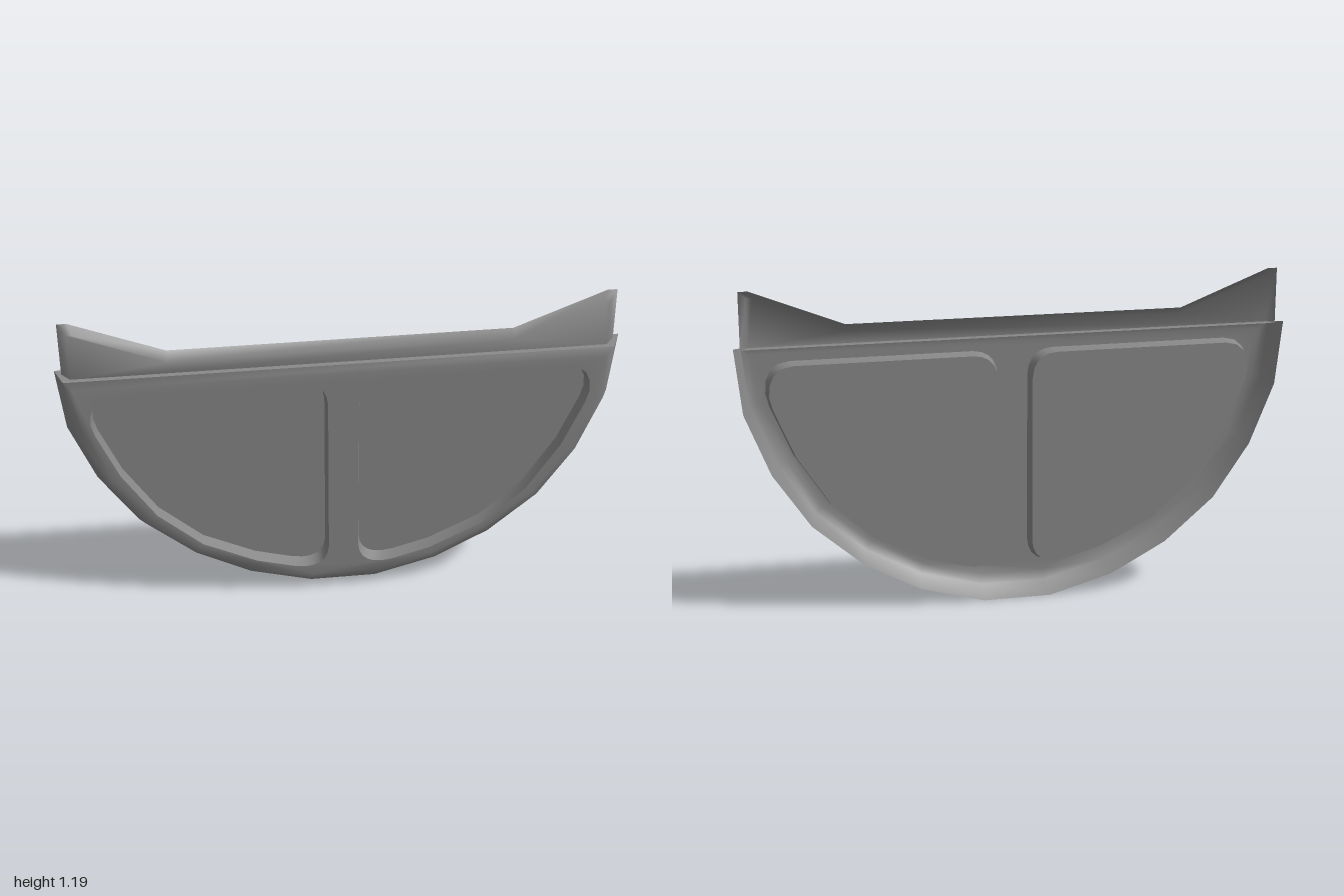
import * as THREE from 'three';
import { mergeGeometries, toCreasedNormals } from 'three/addons/utils/BufferGeometryUtils.js';

const material = new THREE.MeshStandardMaterial({ color: 0x878787, side: THREE.DoubleSide });

// One skin from several pieces, smooth except across edges sharper than crease
function addSkin(parent, name, pieces, crease = 0.8) {
  const mesh = new THREE.Mesh(toCreasedNormals(mergeGeometries(pieces), crease), material);
  mesh.name = name;
  parent.add(mesh);
}

// Band between closed counter-clockwise rings
function loft(rings) {
  const n = rings[0].pts.length;
  const positions = rings.flatMap(r => r.pts.flatMap(([x, y]) => [x, y, r.z]));
  const index = [];
  for (let k = 0; k < rings.length - 1; k++) {
    for (let i = 0; i < n; i++) {
      const a = k * n + i, b = k * n + (i + 1) % n;
      index.push(a, b, b + n, a, b + n, a + n);
    }
  }
  const geometry = new THREE.BufferGeometry();
  geometry.setAttribute('position', new THREE.Float32BufferAttribute(positions, 3));
  geometry.setIndex(index);
  return geometry;
}

const toVectors = pts => pts.map(([x, y]) => new THREE.Vector2(x, y));
const mirror = pts => pts.map(([x, y]) => [-x, y]).reverse();

// Flat face inside an outline, with optional openings
function flat(pts, z, holes = []) {
  const shape = new THREE.Shape(toVectors(pts));
  shape.holes = holes.map(h => new THREE.Path(toVectors(h)));
  const geometry = new THREE.ShapeGeometry(shape).translate(0, 0, z);
  geometry.deleteAttribute('uv');
  geometry.deleteAttribute('normal');
  return geometry;
}

// Half of the bowl outline, from bottom to top on the left side
const half = [[0.125, 0], [0.36, 0.065], [0.565, 0.175], [0.75, 0.335],
  [0.885, 0.535], [0.975, 0.76], [1, 0.995]];

// Bowl outline drawn in towards the middle of its top edge
function bowl(sx, sy, top) {
  const side = half.map(([x, y], i) =>
    [x * sx, i === half.length - 1 ? top : 0.995 - (0.995 - y) * sy]);
  return [...side, ...mirror(side)];
}

// Rounded opening, counter-clockwise
function windowOutline() {
  const s = new THREE.Shape();
  s.moveTo(0.055, 0.2);
  s.quadraticCurveTo(0.06, 0.115, 0.145, 0.115);
  [[0.19, 0.122], [0.325, 0.16], [0.52, 0.255], [0.68, 0.4], [0.8, 0.585], [0.877, 0.765]]
    .forEach(p => s.lineTo(...p));
  s.bezierCurveTo(0.91, 0.845, 0.88, 0.925, 0.8, 0.925);
  s.lineTo(0.145, 0.925);
  s.quadraticCurveTo(0.06, 0.92, 0.055, 0.83);
  s.closePath();
  return s.getPoints(5).slice(0, -1).map(p => [p.x, p.y]);
}

export function createModel() {
  const group = new THREE.Group();
  group.name = 'halfRoundPanel';

  // Open-backed shell: soft bevelled rim running into the flat face
  const opening = windowOutline();
  const front = bowl(0.94, 0.925, 0.955);
  addSkin(group, 'shell', [
    loft([
      { pts: bowl(1, 1, 0.995), z: -0.04 },
      { pts: bowl(0.97, 0.96, 0.983), z: 0.025 },
      { pts: front, z: 0.04 },
    ]),
    flat(front, 0.04, [opening, mirror(opening)]),
  ]);

  // Two recessed windows, bulging out of the back
  const floor = opening.map(([x, y]) => [0.45 + (x - 0.45) * 0.98, 0.56 + (y - 0.56) * 0.98]);
  for (const [side, flip] of [['left', p => p], ['right', mirror]]) {
    addSkin(group, side + 'Window', [
      loft([{ pts: flip(opening), z: 0.04 }, { pts: flip(floor), z: -0.01 }]),
      flat(flip(floor), -0.01),
    ]);
  }

  // Open-backed crest with raised corners, softly bevelled along top and ends
  const crest = inset => {
    const side = [[0.975 - inset, 0.985], [0.975 - inset, 1.19 - inset],
      [0.94 - inset / 2, 1.19 - inset], [0.61, 1.06 - inset]];
    return [...side, ...mirror(side)];
  };
  addSkin(group, 'crest', [
    loft([{ pts: crest(0), z: -0.02 }, { pts: crest(0.03), z: 0.01 }]),
    flat(crest(0.03), 0.01),
  ], 1.1);

  return group;
}
